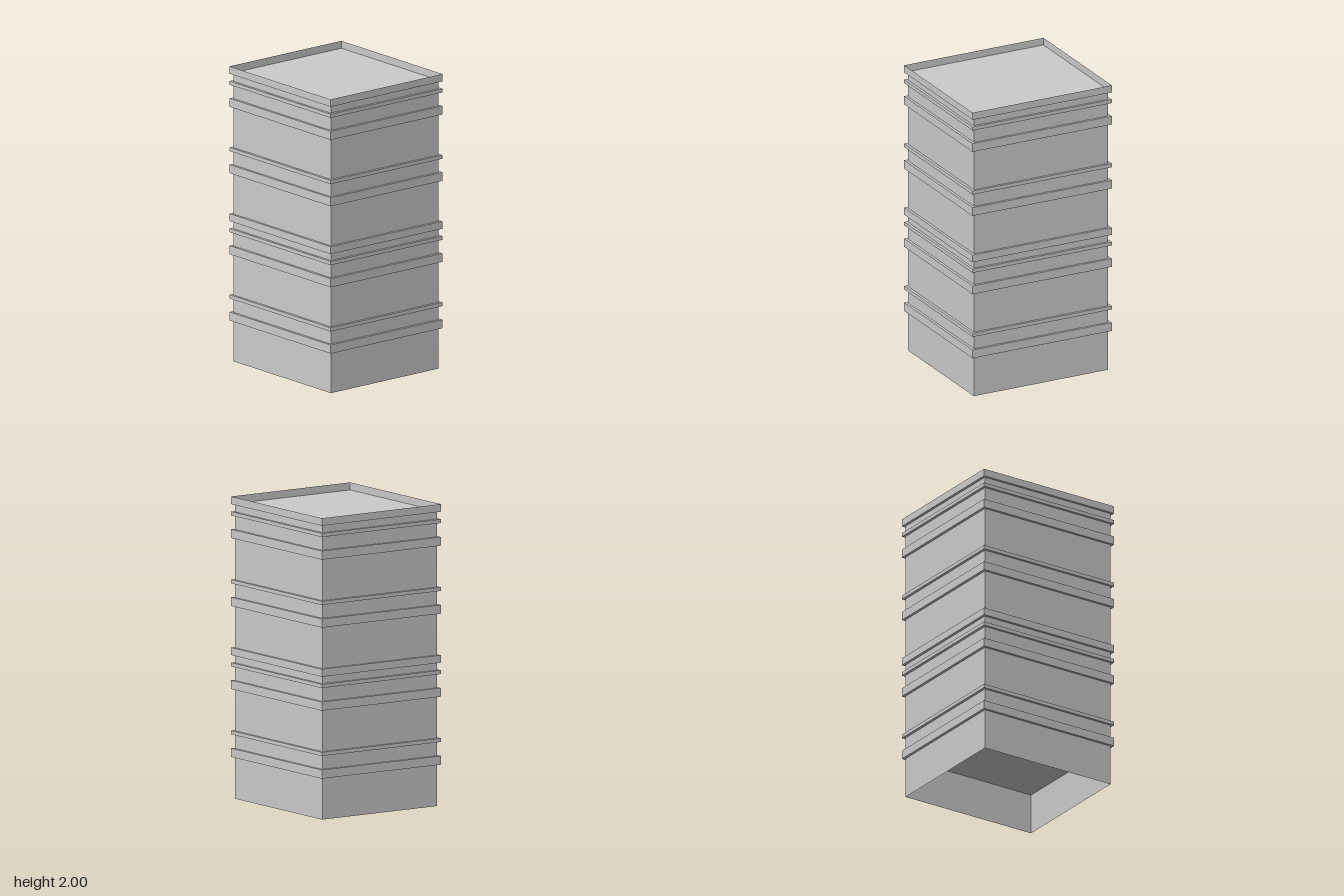
import * as THREE from 'three';

const BODY = [0.917, 0.993];   // width, depth of the walls
const BAND = [0.95, 1.03];     // width, depth of the bands
const MODULE = 1;              // height of one repeating half

const material = new THREE.MeshStandardMaterial({ color: 0xcccccc, flatShading: true });
const thinMaterial = new THREE.MeshStandardMaterial({ color: 0xcccccc, flatShading: true, side: THREE.DoubleSide });

// Thin sheet of the given size, placed and turned
function sheet(parent, name, w, h, pos, rot) {
  const mesh = new THREE.Mesh(new THREE.PlaneGeometry(w, h), thinMaterial);
  mesh.name = name;
  mesh.position.set(...pos);
  mesh.rotation.set(...rot);
  parent.add(mesh);
}

// Four thin walls, open above and below
function wallRing(name, [w, d], y0, y1) {
  const group = new THREE.Group();
  group.name = name;
  const h = y1 - y0, y = (y0 + y1) / 2;
  for (const s of [1, -1]) {
    sheet(group, s > 0 ? 'frontWall' : 'backWall', w, h, [0, y, s * d / 2], [0, s > 0 ? 0 : Math.PI, 0]);
    sheet(group, s > 0 ? 'leftWall' : 'rightWall', d, h, [s * w / 2, y, 0], [0, s * Math.PI / 2, 0]);
  }
  return group;
}

// Solid band projecting from the walls
function band(name, y0, y1) {
  const mesh = new THREE.Mesh(new THREE.BoxGeometry(BAND[0], y1 - y0, BAND[1]), material);
  mesh.name = name;
  mesh.position.y = (y0 + y1) / 2;
  return mesh;
}

export function createModel() {
  const model = new THREE.Group();
  model.name = 'tower';

  // Hollow body, open at the base
  model.add(wallRing('body', BODY, 0, 1.95));

  // Sill and lintel bands, repeated in both halves
  const levels = [
    ['lowerSill', 0.275, 0.333],
    ['lowerMoulding', 0.425, 0.45],
    ['upperSill', 0.725, 0.783],
    ['upperMoulding', 0.875, 0.9],
  ];
  for (const base of [0, MODULE]) {
    for (const [name, y0, y1] of levels) model.add(band(name, base + y0, base + y1));
  }
  model.add(band('middleCornice', 0.95, 1.0));

  // Open roof tray: thin parapet around a sunken floor
  const parapet = wallRing('parapet', BAND, 1.95, 2);
  sheet(parapet, 'roofFloor', BAND[0], BAND[1], [0, 1.95, 0], [-Math.PI / 2, 0, 0]);
  model.add(parapet);

  return model;
}
